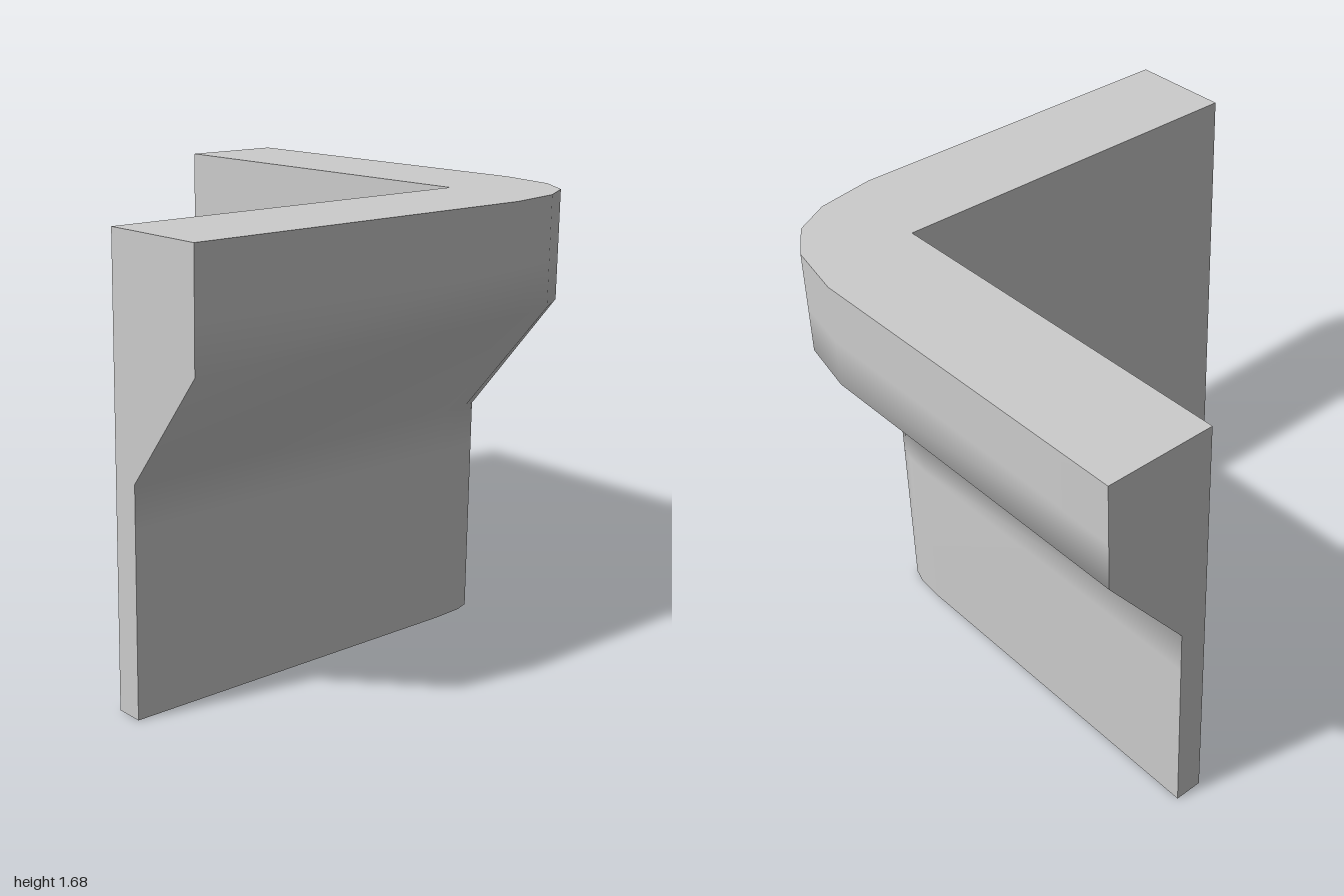
import * as THREE from 'three';

const HEIGHT = 1.68, IN_X = 0.565, IN_Z = 0.57;

// Outer profile rows: [height, flare], flare 0 = thin wall, 1 = overhanging rim
const rows = [[0, 0], [0.67, 0], [0.84, 0], [1.26, 1], [1.45, 1], [HEIGHT, 1]];

// Outer plan path [x, z] for the thin wall and for the rim, same point count
const wallPath = [[-1, 0.675], [0.46, 0.675], [0.585, 0.667], [0.647, 0.647], [0.667, 0.585], [0.675, 0.47], [0.675, -1]];
const rimPath = [[-1, 1], [0.46, 1], [0.70, 0.955], [0.85, 0.87], [0.95, 0.72], [1, 0.47], [1, -1]];

const inner = [[IN_X, -1], [IN_X, IN_Z], [-1, IN_Z]];

function flat(points) {
  return new THREE.ShapeGeometry(new THREE.Shape(points.map(([a, b]) => new THREE.Vector2(a, b))));
}

// Smooth outer face, lofted between the two plan paths
function outerSkin() {
  const pos = [], index = [], n = wallPath.length;
  for (const [y, t] of rows) {
    wallPath.forEach(([x, z], i) => {
      const [rx, rz] = rimPath[i];
      pos.push(x + (rx - x) * t, y, z + (rz - z) * t);
    });
  }
  for (let j = 0; j < rows.length - 1; j++) {
    for (let i = 0; i < n - 1; i++) {
      const a = j * n + i, b = a + 1, c = b + n, d = a + n;
      index.push(a, b, c, a, c, d);
    }
  }
  const geo = new THREE.BufferGeometry();
  geo.setAttribute('position', new THREE.Float32BufferAttribute(pos, 3));
  geo.setIndex(index);
  geo.computeVertexNormals();
  return geo;
}

export function createModel() {
  const group = new THREE.Group();
  group.name = 'cornerCornice';
  const material = new THREE.MeshStandardMaterial({ color: 0xcccccc });
  const add = (name, geo) => {
    const mesh = new THREE.Mesh(geo, material);
    mesh.name = name;
    group.add(mesh);
  };

  add('outerFace', outerSkin());

  // Top and bottom faces
  add('topFace', flat([...rimPath, ...inner].map(([x, z]) => [x, -z]))
    .rotateX(-Math.PI / 2).translate(0, HEIGHT, 0));
  add('bottomFace', flat([...wallPath, ...inner]).rotateX(Math.PI / 2));

  // Cut ends showing the profile
  const profile = (inside) => [[inside, 0], [0.675, 0], [0.675, 0.84], [1, 1.26], [1, HEIGHT], [inside, HEIGHT]];
  add('rightEnd', flat(profile(IN_Z)).rotateY(-Math.PI / 2).translate(-1, 0, 0));
  add('backEnd', flat(profile(IN_X).map(([x, y]) => [-x, y])).rotateY(Math.PI).translate(0, 0, -1));

  // Inner walls meeting at a square corner
  add('innerFrontWall', new THREE.PlaneGeometry(1 + IN_X, HEIGHT)
    .rotateY(Math.PI).translate((IN_X - 1) / 2, HEIGHT / 2, IN_Z));
  add('innerSideWall', new THREE.PlaneGeometry(1 + IN_Z, HEIGHT)
    .rotateY(-Math.PI / 2).translate(IN_X, HEIGHT / 2, (IN_Z - 1) / 2));

  return group;
}
